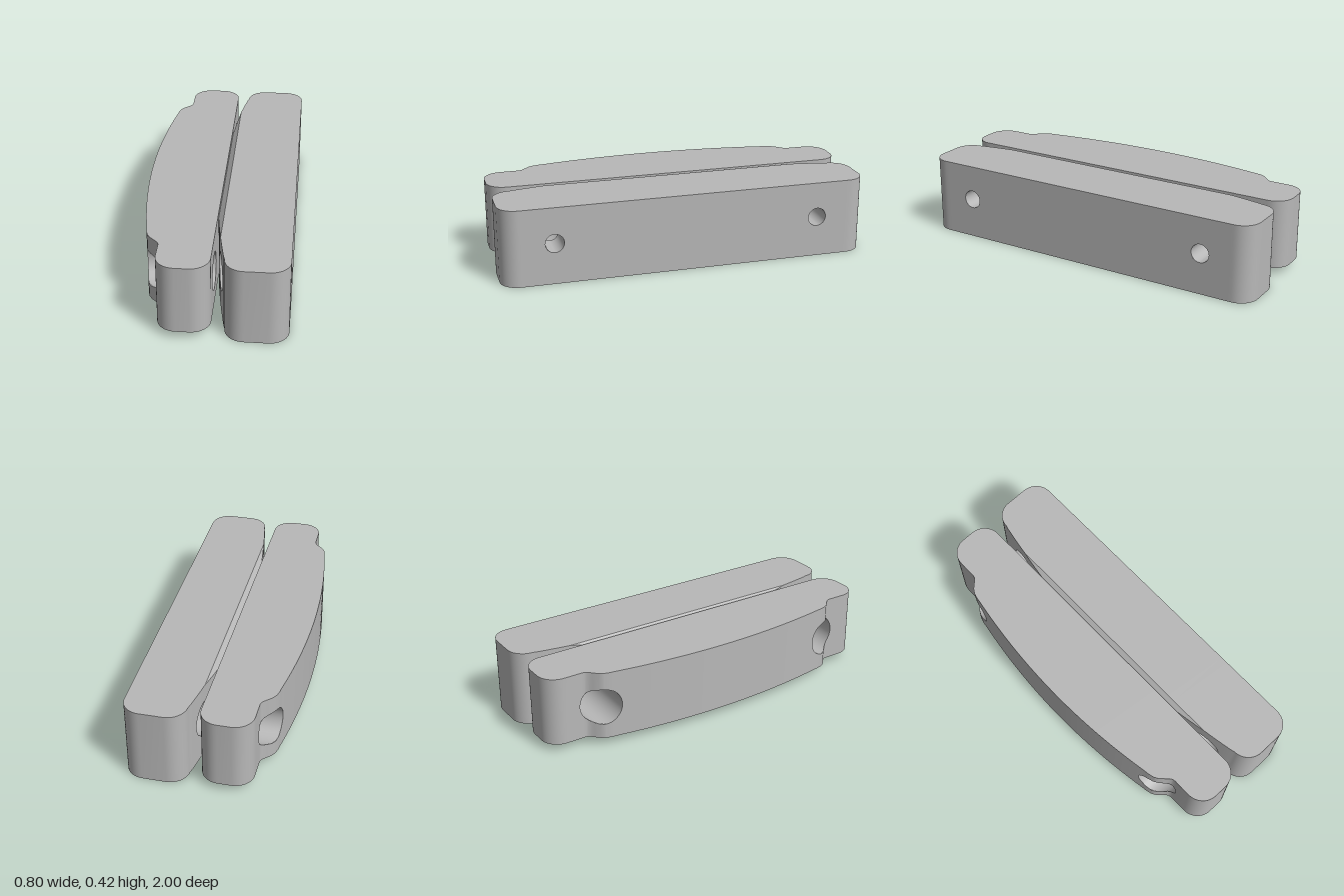
import * as THREE from 'three';
import { toCreasedNormals } from 'three/addons/utils/BufferGeometryUtils.js';

const TOP = 0.417, HOLE_Y = 0.223, HOLE_Z = 0.72, BORE = 0.1, SMALL = 0.05, SEG = 32;
const ringAngles = Array.from({ length: SEG + 1 }, (_, i) => (i / SEG) * Math.PI * 2);

// Plan profile: half side list of [z, x] mirrored over z = 0
const mirrorZ = half => [...half.slice(1).reverse().map(([z, x]) => [-z, x]), ...half];

// Rounded end corner; dir is +1 when the corner turns towards +x
function corner(x, dir, r = 0.1) {
  return Array.from({ length: 11 }, (_, i) => {
    const a = (i / 10) * Math.PI / 2;
    return [1 - r + r * Math.sin(a), x + dir * r * (1 - Math.cos(a))];
  });
}

// Gently bowed side x = x0 + k z^2 from the middle to zEnd
function bow(x0, k, zEnd, n = 14) {
  return Array.from({ length: n + 1 }, (_, i) => {
    const z = (i / n) * zEnd;
    return [z, x0 + k * z * z];
  });
}

function sampler(points) {
  return z => {
    let i = 1;
    while (i < points.length - 1 && points[i][0] < z) i++;
    const [z0, a] = points[i - 1], [z1, b] = points[i];
    return a + (b - a) * THREE.MathUtils.clamp((z - z0) / (z1 - z0), 0, 1);
  };
}

function buildBlock({ left, right, bottom, leftR, rightR, step, chamferX = -Infinity }) {
  const pos = [];
  const quad = (a, b, c, d) => pos.push(...a, ...b, ...c, ...a, ...c, ...d);
  const xl = sampler(left), xr = sampler(right);
  const xTop = z => Math.max(xl(z), chamferX);
  const yLeft = z => TOP - (xTop(z) - xl(z));

  // Stations along the length: profile points, hole edges and chamfer ends
  const stations = [...left, ...right].map(p => p[0]);
  for (const s of [-1, 1]) {
    stations.push(s * 0.707);
    for (const r of [leftR, rightR])
      for (const a of ringAngles) stations.push(s * HOLE_Z + r * Math.cos(a));
  }
  const zs = [...new Set(stations.map(z => +z.toFixed(6)))].sort((a, b) => a - b);

  // Side wall strip with openings for the holes
  const wall = (x, yTop, r, dir, z0, z1) => {
    const half = z => {
      const d = Math.abs(Math.abs(z) - HOLE_Z);
      return d < r - 1e-5 ? Math.sqrt(r * r - d * d) : 0;
    };
    const panel = (b0, b1, t0, t1) => {
      const p = [[x(z1), b1, z1], [x(z0), b0, z0], [x(z0), t0, z0], [x(z1), t1, z1]];
      quad(...(dir > 0 ? p : p.reverse()));
    };
    const h0 = half(z0), h1 = half(z1);
    if (h0 || h1) {
      panel(bottom, bottom, HOLE_Y - h0, HOLE_Y - h1);
      panel(HOLE_Y + h0, HOLE_Y + h1, yTop(z0), yTop(z1));
    } else panel(bottom, bottom, yTop(z0), yTop(z1));
  };

  for (let i = 1; i < zs.length; i++) {
    const z0 = zs[i - 1], z1 = zs[i];
    wall(xl, yLeft, leftR, -1, z0, z1);
    wall(xr, () => TOP, rightR, 1, z0, z1);
    // Top and underside
    quad([xTop(z0), TOP, z0], [xTop(z1), TOP, z1], [xr(z1), TOP, z1], [xr(z0), TOP, z0]);
    quad([xl(z0), bottom, z0], [xr(z0), bottom, z0], [xr(z1), bottom, z1], [xl(z1), bottom, z1]);
    // Chamfer along the inner top edge
    if (yLeft(z0) < TOP - 1e-6 || yLeft(z1) < TOP - 1e-6)
      quad([xl(z0), yLeft(z0), z0], [xl(z1), yLeft(z1), z1], [xTop(z1), TOP, z1], [xTop(z0), TOP, z0]);
  }

  // Flat ends
  for (const s of [-1, 1]) {
    const p = [[xl(s), bottom, s], [xr(s), bottom, s], [xr(s), TOP, s], [xl(s), TOP, s]];
    quad(...(s > 0 ? p : p.reverse()));
  }

  // Bores, with a shoulder where the radius changes
  for (const s of [-1, 1]) {
    const z = (r, a) => s * HOLE_Z + r * Math.cos(a), y = (r, a) => HOLE_Y + r * Math.sin(a);
    const tube = (r, xa, xb, a, b) => quad(
      [xa(z(r, a)), y(r, a), z(r, a)], [xa(z(r, b)), y(r, b), z(r, b)],
      [xb(z(r, b)), y(r, b), z(r, b)], [xb(z(r, a)), y(r, a), z(r, a)]);
    for (let i = 0; i < SEG; i++) {
      const a = ringAngles[i], b = ringAngles[i + 1];
      if (step === undefined) { tube(leftR, xl, xr, a, b); continue; }
      tube(leftR, xl, () => step, a, b);
      tube(rightR, () => step, xr, a, b);
      quad([step, y(rightR, a), z(rightR, a)], [step, y(leftR, a), z(leftR, a)],
        [step, y(leftR, b), z(leftR, b)], [step, y(rightR, b), z(rightR, b)]);
    }
  }

  const geo = new THREE.BufferGeometry();
  geo.setAttribute('position', new THREE.Float32BufferAttribute(pos, 3));
  return toCreasedNormals(geo, 0.45);
}

export function createModel() {
  const group = new THREE.Group();
  group.name = 'clampBlocks';
  const grey = new THREE.MeshStandardMaterial({ color: 0xb8b8b8, side: THREE.DoubleSide });
  grey.name = 'grey';
  const add = (name, spec) => {
    const mesh = new THREE.Mesh(buildBlock(spec), grey);
    mesh.name = name;
    group.add(mesh);
  };

  // Bowed block with shouldered ends and wide through bores
  add('bowedBlock', {
    left: mirrorZ([...bow(-0.4, 0.135, 0.65), [0.68, -0.339], [0.71, -0.331], [0.735, -0.316],
      [0.755, -0.295], [0.77, -0.279], [0.785, -0.268], [0.8, -0.265], ...corner(-0.265, 1)]),
    right: mirrorZ([[0, 0.005], ...corner(0.005, -1)]),
    bottom: 0.043, leftR: BORE, rightR: BORE,
  });

  // Straight backed block with a bowed inner face and stepped bores
  add('backBlock', {
    left: mirrorZ([...bow(-0.02, 0.11, 0.88, 20), ...corner(0.071, 1)]),
    right: mirrorZ([[0, 0.395], ...corner(0.395, -1)]),
    bottom: 0, leftR: BORE, rightR: SMALL, step: 0.22, chamferX: 0.035,
  });
  return group;
}
